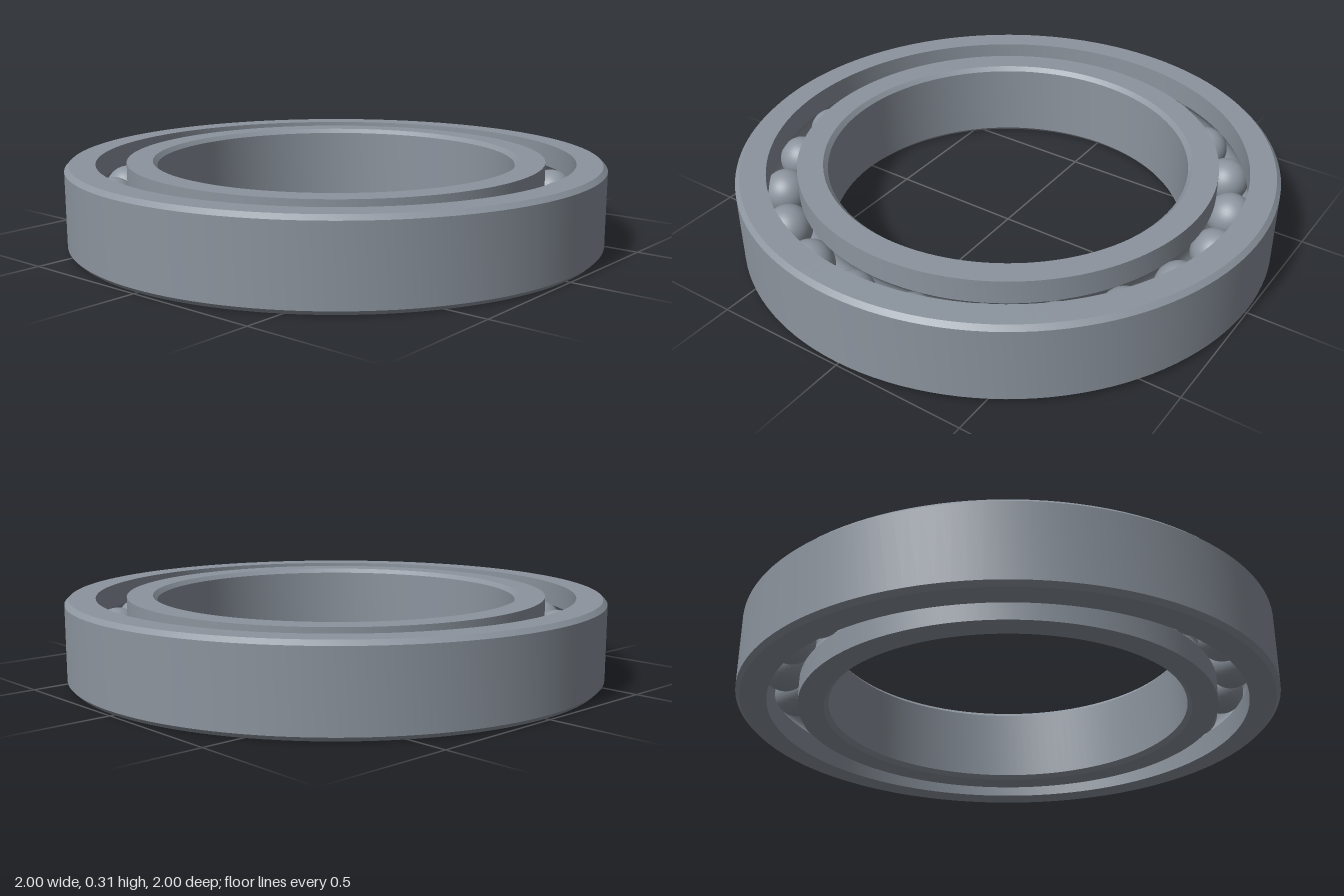
import * as THREE from 'three';
import { toCreasedNormals } from 'three/addons/utils/BufferGeometryUtils.js';

const HEIGHT = 0.308;
const MID = HEIGHT / 2;
const CHAMFER = 0.016;
const BALL_COUNT = 22;
const BALL_RADIUS = 0.086;
const PITCH_RADIUS = 0.8335; // circle through the ball centres
const HALF_GAP = 0.0555; // half the space between the rings

// Points of the ball groove, in the cross-section, from one angle to another
function groove(from, to, steps = 12) {
  return Array.from({ length: steps + 1 }, (_, i) => {
    const a = from + ((to - from) * i) / steps;
    return [PITCH_RADIUS + BALL_RADIUS * Math.cos(a), MID + BALL_RADIUS * Math.sin(a)];
  });
}

// Revolves a closed cross-section, keeping its corners sharp
function makeRing(name, profile, material) {
  const points = [...profile, profile[0]].map(([r, y]) => new THREE.Vector2(r, y));
  const geometry = toCreasedNormals(new THREE.LatheGeometry(points, 128), 0.4);
  const mesh = new THREE.Mesh(geometry, material);
  mesh.name = name;
  return mesh;
}

export function createModel() {
  const model = new THREE.Group();
  model.name = 'ballBearing';

  const steel = new THREE.MeshStandardMaterial({ color: 0x8c949e });
  steel.name = 'steel';

  const edge = Math.acos(HALF_GAP / BALL_RADIUS);
  const outerRace = PITCH_RADIUS + HALF_GAP;
  const innerRace = PITCH_RADIUS - HALF_GAP;
  const bore = 0.667;

  // Outer ring: chamfered outside, grooved inside
  model.add(makeRing('outerRing', [
    [outerRace, 0],
    [1 - CHAMFER, 0],
    [1, CHAMFER],
    [1, HEIGHT - CHAMFER],
    [1 - CHAMFER, HEIGHT],
    [outerRace, HEIGHT],
    ...groove(edge, -edge),
  ], steel));

  // Inner ring: chamfered bore, grooved outside
  model.add(makeRing('innerRing', [
    [bore + CHAMFER, 0],
    [innerRace, 0],
    ...groove(Math.PI + edge, Math.PI - edge),
    [innerRace, HEIGHT],
    [bore + CHAMFER, HEIGHT],
    [bore, HEIGHT - CHAMFER],
    [bore, CHAMFER],
  ], steel));

  // Balls, evenly spaced and turned a quarter step from the x axis
  const balls = new THREE.Group();
  balls.name = 'balls';
  const ballGeometry = new THREE.SphereGeometry(BALL_RADIUS, 32, 20);
  for (let i = 0; i < BALL_COUNT; i++) {
    const a = ((i + 0.25) / BALL_COUNT) * Math.PI * 2;
    const ball = new THREE.Mesh(ballGeometry, steel);
    ball.name = 'ball';
    ball.position.set(PITCH_RADIUS * Math.cos(a), MID, -PITCH_RADIUS * Math.sin(a));
    balls.add(ball);
  }
  model.add(balls);

  return model;
}
